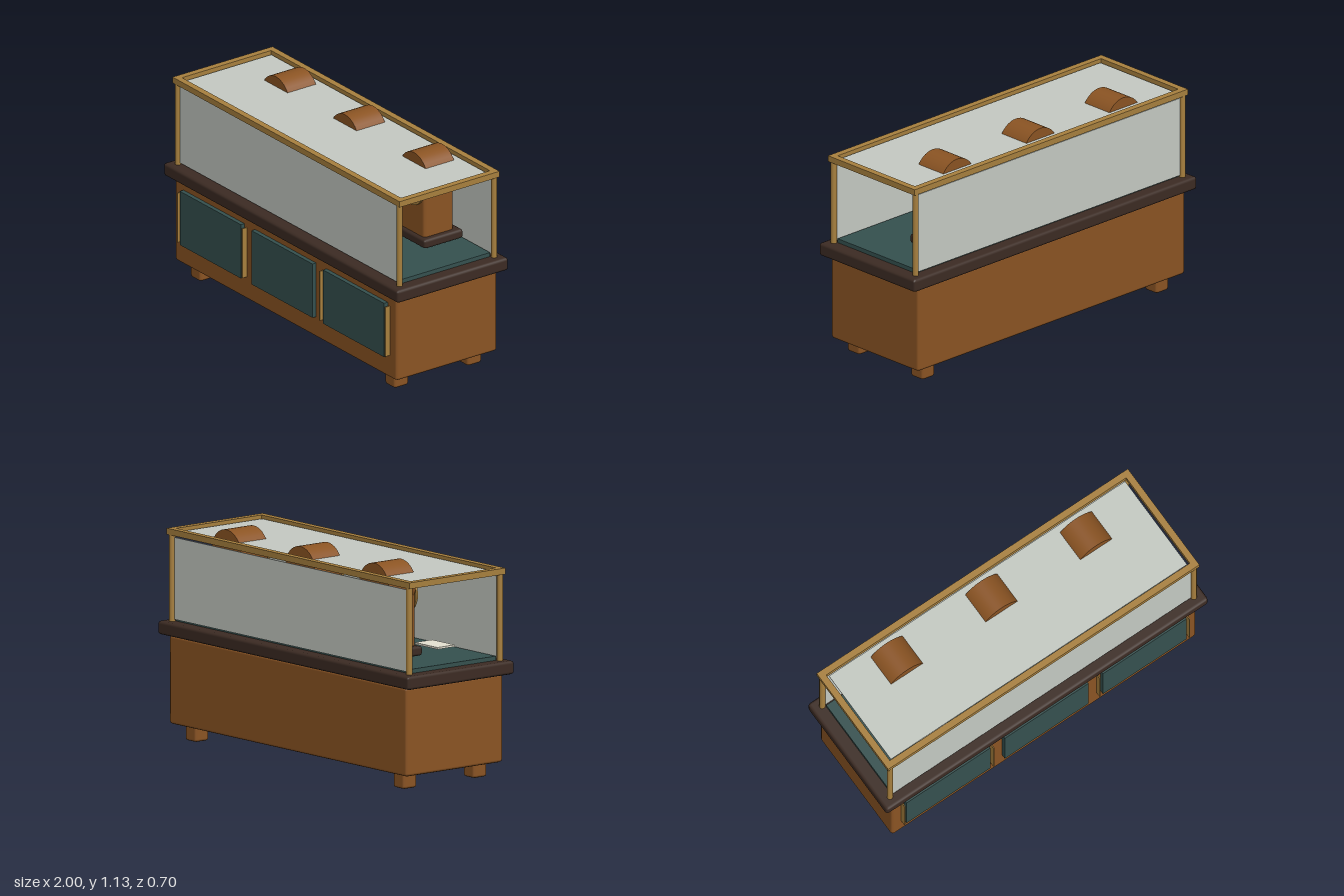
import * as THREE from 'three';
import { RoundedBoxGeometry } from 'three/addons/geometries/RoundedBoxGeometry.js';

const mat = (name, color) => {
  const m = new THREE.MeshStandardMaterial({ color });
  m.name = name;
  return m;
};

export function createModel() {
  const root = new THREE.Group();
  root.name = 'clockDisplayCase';
  const wood = mat('warm wood', 0x8b5423);
  const dark = mat('dark wood', 0x3c2b23);
  const felt = mat('teal felt', 0x35514f);
  const brass = mat('brass', 0xa8803e);
  const glass = mat('pale glass', 0xc5cac3);
  const cream = mat('cream enamel', 0xe6e2d2);
  const black = mat('black', 0x1a1715);

  const add = (parent, name, geo, m, x, y, z) => {
    const mesh = new THREE.Mesh(geo, m);
    mesh.name = name;
    mesh.position.set(x, y, z);
    parent.add(mesh);
    return mesh;
  };
  const box = (p, name, m, w, h, d, x, y, z) =>
    add(p, name, new THREE.BoxGeometry(w, h, d), m, x, y, z);
  const bevel = (p, name, m, w, h, d, r, x, y, z) =>
    add(p, name, new RoundedBoxGeometry(w, h, d, 1, r), m, x, y, z);
  const disc = (p, name, m, r, d, x, y, z, seg = 40) => {
    const mesh = add(p, name, new THREE.CylinderGeometry(r, r, d, seg), m, x, y, z);
    mesh.rotation.x = Math.PI / 2;
    return mesh;
  };

  // cabinet, counter and lined display floor
  bevel(root, 'cabinet', wood, 1.89, 0.46, 0.64, 0.015, 0, 0.31, 0);
  bevel(root, 'counter', dark, 2, 0.07, 0.705, 0.015, 0, 0.575, 0);
  box(root, 'displayFloor', felt, 1.86, 0.024, 0.57, 0, 0.62, 0);

  // feet, corner posts
  for (const sx of [-1, 1]) for (const sz of [-1, 1]) {
    bevel(root, 'foot', wood, 0.088, 0.1, 0.09, 0.014, sx * 0.828, 0.05, sz * 0.232);
    add(root, 'cornerPost', new THREE.CylinderGeometry(0.016, 0.016, 0.46, 16), brass,
      sx * 0.944, 0.835, sz * 0.3);
  }

  // front panels with slim brass trims
  for (const x of [-0.61, 0, 0.61])
    box(root, 'frontPanel', felt, 0.52, 0.3, 0.024, x, 0.345, 0.331);
  for (const x of [-0.885, -0.332, 0.328, 0.885])
    box(root, 'brassTrim', brass, 0.006, 0.275, 0.03, x, 0.343, 0.334);

  // top frame
  for (const s of [-1, 1]) {
    box(root, 'topRail', brass, 1.934, 0.032, 0.035, 0, 1.074, s * 0.3);
    box(root, 'topEndRail', brass, 0.035, 0.032, 0.566, s * 0.9495, 1.074, 0);
  }

  // glass on front, back and top; the ends are open
  for (const s of [-1, 1])
    box(root, 'sidePane', glass, 1.86, 0.425, 0.006, 0, 0.833, s * 0.296);
  box(root, 'topPane', glass, 1.84, 0.006, 0.55, 0, 1.07, 0);

  // arched mantel clock
  const makeClock = (x) => {
    const clock = new THREE.Group();
    clock.name = 'mantelClock';
    clock.position.x = x;
    root.add(clock);
    bevel(clock, 'clockBase', dark, 0.27, 0.05, 0.245, 0.014, 0, 0.667, -0.148);
    bevel(clock, 'clockBody', wood, 0.205, 0.32, 0.19, 0.018, 0, 0.835, -0.14);
    disc(clock, 'clockArch', wood, 0.117, 0.18, 0, 1.011, -0.147);
    disc(clock, 'bezel', brass, 0.106, 0.012, 0, 0.953, -0.04);
    disc(clock, 'dial', cream, 0.09, 0.006, 0, 0.953, -0.033);
    for (let i = 0; i < 12; i++) {
      const a = (i * Math.PI) / 6;
      const mark = box(clock, 'hourMark', black, 0.005, 0.016, 0.004,
        Math.sin(a) * 0.075, 0.953 + Math.cos(a) * 0.075, -0.028);
      mark.rotation.z = -a;
    }
    for (const [len, a, z] of [[0.045, -1.0, -0.024], [0.065, 1.0, -0.02]]) {
      const hand = box(clock, 'hand', black, 0.008, len, 0.004,
        Math.sin(a) * len / 2, 0.953 + Math.cos(a) * len / 2, z);
      hand.rotation.z = -a;
    }
    disc(clock, 'handHub', brass, 0.006, 0.03, 0, 0.953, -0.015, 16);
  };
  [-0.588, 0, 0.588].forEach(makeClock);

  // small items on the display floor
  box(root, 'card', cream, 0.18, 0.01, 0.115, -0.58, 0.654, 0.172);
  add(root, 'brassDish', new THREE.CylinderGeometry(0.046, 0.046, 0.03, 32), brass, -0.2, 0.67, 0.118);

  return root;
}
